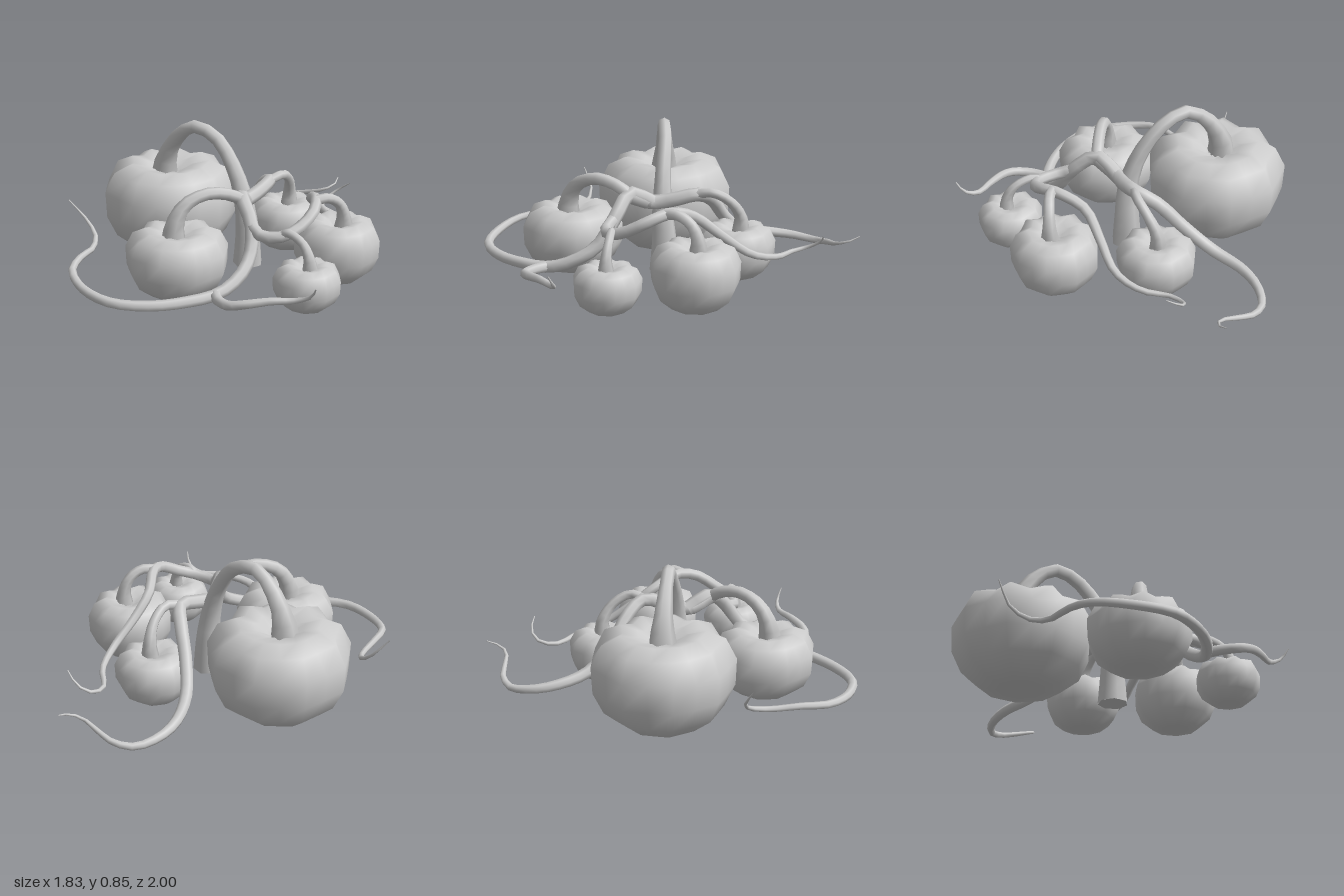
import * as THREE from 'three';

const V = (p) => new THREE.Vector3(...p);

// Ribbed gourd body: a profile swept round nine lobes, with deeper grooves near the top
const PROFILE = [[0.28, 0.0], [0.56, 0.025], [0.84, 0.19], [0.985, 0.42], [1.0, 0.7],
  [0.85, 0.92], [0.6, 1.0], [0.36, 0.96], [0.17, 0.89]];

function pumpkinGeometry(radius, height, turn) {
  const lobes = 9, n = lobes * 2, pos = [], idx = [];
  PROFILE.forEach(([r, h], row) => {
    const groove = row > 4 ? 0.12 : 0.055;
    for (let i = 0; i < n; i++) {
      const a = turn + (i / n) * Math.PI * 2;
      const valley = i % 2;
      const rr = radius * r * (1 - groove * valley);
      const y = height * (h - (row > 4 ? 0.035 * valley : 0));
      pos.push(Math.cos(a) * rr, y, Math.sin(a) * rr);
    }
  });
  const rows = PROFILE.length;
  for (let row = 0; row < rows - 1; row++) {
    for (let i = 0; i < n; i++) {
      const j = (i + 1) % n, a = row * n + i, b = row * n + j, c = a + n, d = b + n;
      idx.push(a, c, b, b, c, d);
    }
  }
  const bottom = rows * n, top = bottom + 1, last = (rows - 1) * n;
  pos.push(0, height * 0.03, 0, 0, height * 0.86, 0);
  for (let i = 0; i < n; i++) {
    const j = (i + 1) % n;
    idx.push(bottom, i, j, top, last + j, last + i);
  }
  const g = new THREE.BufferGeometry();
  g.setAttribute('position', new THREE.Float32BufferAttribute(pos, 3));
  g.setIndex(idx);
  g.computeVertexNormals();
  return g;
}

// Tube whose radius follows a list of values spread evenly along its length
function taperedTube(points, radii, steps, sides = 7) {
  const curve = new THREE.CatmullRomCurve3(points.map(V), false, 'centripetal');
  const g = new THREE.TubeGeometry(curve, steps, 1, sides, false);
  const p = g.attributes.position, v = new THREE.Vector3();
  for (let i = 0; i <= steps; i++) {
    const c = curve.getPointAt(i / steps);
    const f = (i / steps) * (radii.length - 1), k = Math.min(Math.floor(f), radii.length - 2);
    const r = THREE.MathUtils.lerp(radii[k], radii[k + 1], f - k);
    for (let s = 0; s <= sides; s++) {
      const id = i * (sides + 1) + s;
      v.fromBufferAttribute(p, id).sub(c).multiplyScalar(r).add(c);
      p.setXYZ(id, v.x, v.y, v.z);
    }
  }
  return g;
}

export function createModel() {
  const group = new THREE.Group();
  const grey = new THREE.MeshStandardMaterial({ color: 0xcccccc });
  grey.name = 'paleGrey';
  const add = (name, geometry) => {
    const m = new THREE.Mesh(geometry, grey);
    m.name = name;
    group.add(m);
    return m;
  };

  // Pumpkins: x, base y, z, radius, height, turn in degrees
  const pumpkins = {
    largePumpkin: [-0.27, 0.01, -0.43, 0.415, 0.56, 8],
    mediumPumpkin: [-0.3, 0.015, 0.295, 0.3, 0.39, -6],
    sidePumpkin: [0.655, 0.01, 0.2, 0.255, 0.37, -14],
    smallPumpkin: [0.395, 0.025, 0.615, 0.193, 0.26, -13],
    backPumpkin: [0.45, 0.01, -0.335, 0.23, 0.31, -6],
  };
  for (const [name, [x, y, z, r, h, deg]] of Object.entries(pumpkins)) {
    add(name, pumpkinGeometry(r, h, THREE.MathUtils.degToRad(deg))).position.set(x, y, z);
  }

  // Trunk: rises from the ground and arches over to the large pumpkin
  add('trunk', taperedTube([[0.16, 0.03, -0.03], [0.16, 0.2, -0.03], [0.14, 0.4, -0.03], [0.09, 0.6, -0.08],
    [-0.01, 0.78, -0.19], [-0.13, 0.825, -0.29], [-0.235, 0.72, -0.39], [-0.29, 0.58, -0.445], [-0.3, 0.48, -0.45]],
  [0.09, 0.075, 0.062, 0.05, 0.043, 0.04, 0.04, 0.055, 0.085], 16));
  const base = add('trunkBase', new THREE.CircleGeometry(0.09, 7));
  base.rotation.x = Math.PI / 2;
  base.position.set(0.16, 0.03, -0.03);

  // Stems: from each pumpkin's crown to the vine
  const stems = {
    mediumStem: [[-0.32, 0.34, 0.31], [-0.31, 0.44, 0.305], [-0.25, 0.54, 0.285], [-0.12, 0.59, 0.25],
      [0.03, 0.56, 0.205], [0.1, 0.51, 0.18]],
    sideStem: [[0.69, 0.32, 0.21], [0.685, 0.41, 0.215], [0.65, 0.49, 0.23], [0.58, 0.535, 0.26], [0.5, 0.53, 0.28]],
    smallStem: [[0.41, 0.24, 0.635], [0.4, 0.33, 0.625], [0.37, 0.4, 0.58], [0.3, 0.43, 0.5], [0.27, 0.4, 0.47]],
    backStem: [[0.47, 0.27, -0.35], [0.47, 0.37, -0.345], [0.45, 0.47, -0.28], [0.39, 0.53, -0.19], [0.3, 0.51, -0.14]],
  };
  const widths = { mediumStem: 0.062, sideStem: 0.052, smallStem: 0.042, backStem: 0.048 };
  for (const [name, pts] of Object.entries(stems)) {
    const w = widths[name];
    add(name, taperedTube(pts, [w * 1.15, w * 0.75, w * 0.6, w * 0.58, w * 0.6], 10));
  }

  // Main vine: from the curled back tip, over the trunk and round to the curled left tip
  add('backVine', taperedTube([[0.09, 0.52, 0.18], [0.13, 0.46, 0.04], [0.22, 0.48, -0.04], [0.31, 0.51, -0.15],
    [0.295, 0.45, -0.28], [0.26, 0.31, -0.42], [0.245, 0.18, -0.6], [0.29, 0.13, -0.8], [0.38, 0.105, -0.92],
    [0.5, 0.09, -0.98], [0.62, 0.11, -0.965], [0.71, 0.14, -0.9], [0.8, 0.175, -0.84], [0.87, 0.2, -0.85], [0.91, 0.23, -0.91]],
  [0.046, 0.044, 0.04, 0.038, 0.036, 0.03, 0.022, 0.014, 0.003], 32));
  add('frontVine', taperedTube([[0.13, 0.46, 0.04], [0.09, 0.53, 0.18], [0.125, 0.42, 0.33], [0.1, 0.28, 0.43],
    [0.03, 0.2, 0.53], [-0.1, 0.14, 0.62], [-0.3, 0.125, 0.68], [-0.5, 0.12, 0.69], [-0.7, 0.125, 0.63],
    [-0.84, 0.135, 0.46], [-0.9, 0.16, 0.25], [-0.85, 0.175, 0.1], [-0.77, 0.17, -0.05], [-0.75, 0.2, -0.17],
    [-0.8, 0.27, -0.265], [-0.9, 0.39, -0.29]],
  [0.046, 0.042, 0.038, 0.034, 0.03, 0.027, 0.022, 0.016, 0.003], 36));

  // Side vine: climbs past the small and side pumpkins and trails to the back
  add('sideVine', taperedTube([[0.12, 0.43, 0.31], [0.16, 0.39, 0.42], [0.27, 0.4, 0.48], [0.38, 0.44, 0.45],
    [0.47, 0.5, 0.38], [0.51, 0.53, 0.25], [0.52, 0.47, 0.07], [0.6, 0.36, -0.05], [0.71, 0.24, -0.19],
    [0.75, 0.195, -0.35], [0.72, 0.18, -0.53], [0.77, 0.2, -0.62], [0.85, 0.25, -0.63], [0.91, 0.31, -0.57]],
  [0.036, 0.034, 0.034, 0.032, 0.029, 0.024, 0.018, 0.012, 0.003], 30));

  // Short tendril: branches off the front vine
  add('tendril', taperedTube([[-0.12, 0.14, 0.63], [-0.12, 0.145, 0.72], [-0.075, 0.16, 0.82], [0, 0.18, 0.86],
    [0.14, 0.2, 0.88], [0.28, 0.205, 0.9], [0.35, 0.245, 0.95], [0.365, 0.31, 0.995]],
  [0.032, 0.028, 0.024, 0.017, 0.003], 16));

  return group;
}
